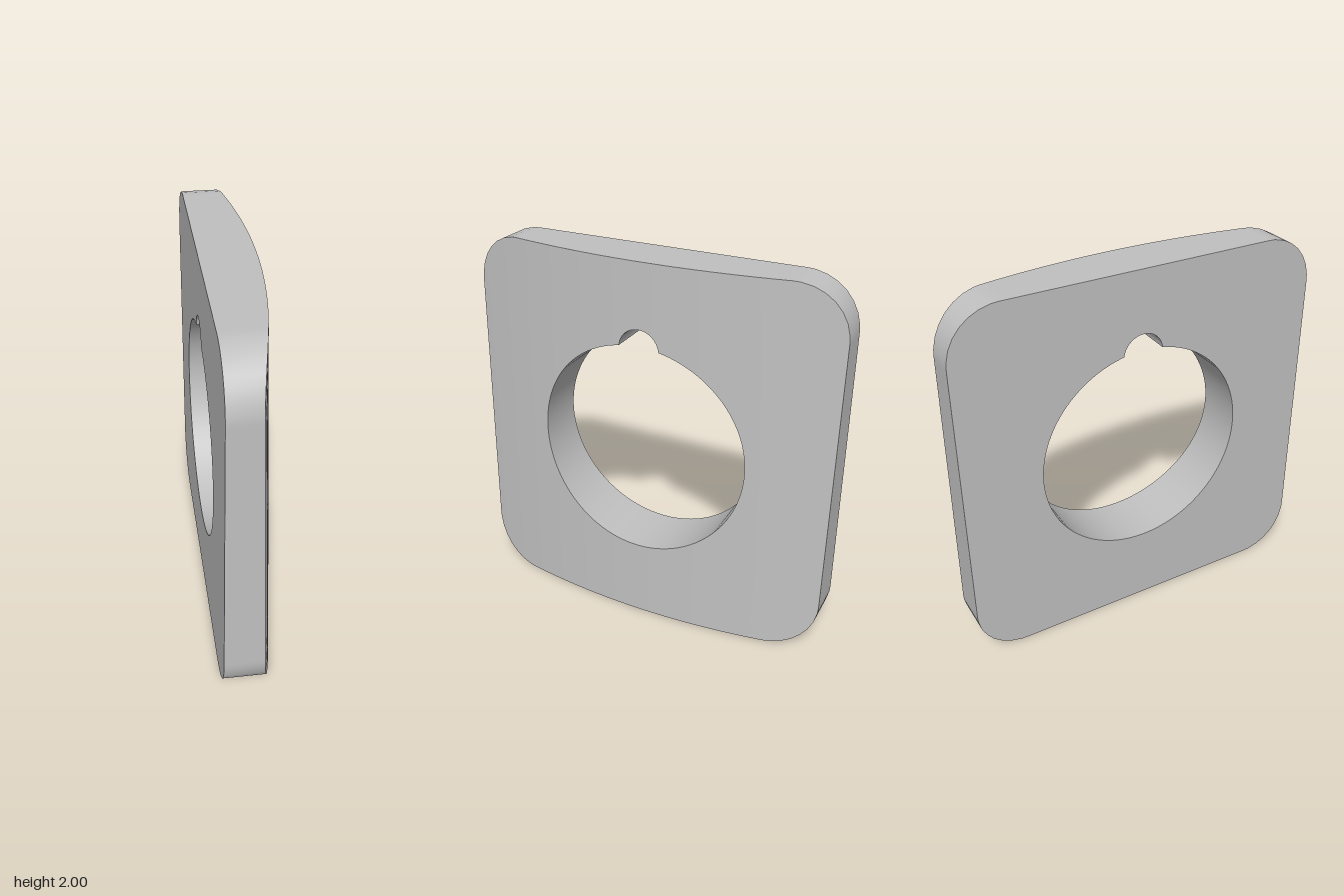
import * as THREE from 'three';
import { toCreasedNormals } from 'three/addons/utils/BufferGeometryUtils.js';

const HALF = 1, CORNER = 0.27;              // rounded square outline
const HOLE = 0.575, KEY = 0.11, KEY_Y = 0.553; // bore and its keyway
const CURVE = 4, THICK = 0.31, TAPER = 0.031;  // domed back face

// Distance from the centre to the rounded square along a direction
function outerRadius(a) {
  const s = Math.abs(Math.sin(a)), c = Math.abs(Math.cos(a));
  const r = HALF / Math.max(s, c), k = HALF - CORNER;
  if (Math.min(s, c) * r <= k) return r;
  const b = k * (s + c);
  return b + Math.sqrt(b * b - 2 * k * k + CORNER * CORNER);
}

// Distance from the centre to the bore, including the keyway at the top
function innerRadius(a) {
  const side = KEY_Y * Math.sin(a), d = KEY * KEY - side * side;
  if (Math.cos(a) < 0 || d < 0) return HOLE;
  return Math.max(HOLE, KEY_Y * Math.cos(a) + Math.sqrt(d));
}

// Thickness: a shallow cylinder that thins toward the top
const thickness = (u, v) =>
  THICK - (CURVE - Math.sqrt(CURVE * CURVE - u * u)) - TAPER * v;

// Angles measured from the top: even steps outside the keyway, finer inside it
function sampleAngles() {
  const edge = Math.acos((KEY_Y ** 2 + HOLE ** 2 - KEY ** 2) / (2 * KEY_Y * HOLE));
  const angles = [-edge, edge];
  for (let i = -20; i <= 20; i++) {
    const p = (i / 20) * Math.PI / 2;
    const a = Math.atan2(KEY * Math.sin(p), KEY_Y + KEY * Math.cos(p));
    if (Math.abs(a) < edge - 0.001) angles.push(a);
  }
  const n = 144;
  for (let i = 0; i < n; i++) {
    const a = -Math.PI + (i / n) * Math.PI * 2;
    if (Math.abs(a) > edge + 0.005) angles.push(a);
  }
  const k = Math.atan((HALF - CORNER) / HALF);
  for (let q = -2; q < 2; q++) angles.push(q * Math.PI / 2 + k, (q + 1) * Math.PI / 2 - k);
  return angles.sort((a, b) => a - b);
}

// Closed cross-sections swept around the bore
function plateGeometry() {
  const angles = sampleAngles(), steps = 12, ring = steps + 3;
  const pos = [], index = [];
  const add = (a, r, back) => {
    const u = Math.sin(a) * r, v = Math.cos(a) * r;
    const t = back ? thickness(u, v) : 0;
    pos.push(-0.09 + 0.5 * u + 0.866 * t, 1 + v, 0.05 + 0.866 * u - 0.5 * t);
  };
  for (const a of angles) {
    const ri = innerRadius(a), ro = outerRadius(a);
    add(a, ri, false);
    add(a, ro, false);
    for (let j = 0; j <= steps; j++) add(a, ro + (ri - ro) * j / steps, true);
  }
  for (let i = 0; i < angles.length; i++) {
    const next = (i + 1) % angles.length;
    for (let j = 0; j < ring; j++) {
      const k = (j + 1) % ring;
      const A = i * ring + j, B = next * ring + j, C = i * ring + k, D = next * ring + k;
      index.push(A, B, C, B, D, C);
    }
  }
  const geo = new THREE.BufferGeometry();
  geo.setAttribute('position', new THREE.Float32BufferAttribute(pos, 3));
  geo.setIndex(index);
  return toCreasedNormals(geo, 0.6);
}

export function createModel() {
  const group = new THREE.Group();
  group.name = 'keyedPlate';
  const grey = new THREE.MeshStandardMaterial({ color: 0xc0c0c0 });
  grey.name = 'light grey';
  const plate = new THREE.Mesh(plateGeometry(), grey);
  plate.name = 'domedPlate';
  group.add(plate);
  return group;
}
